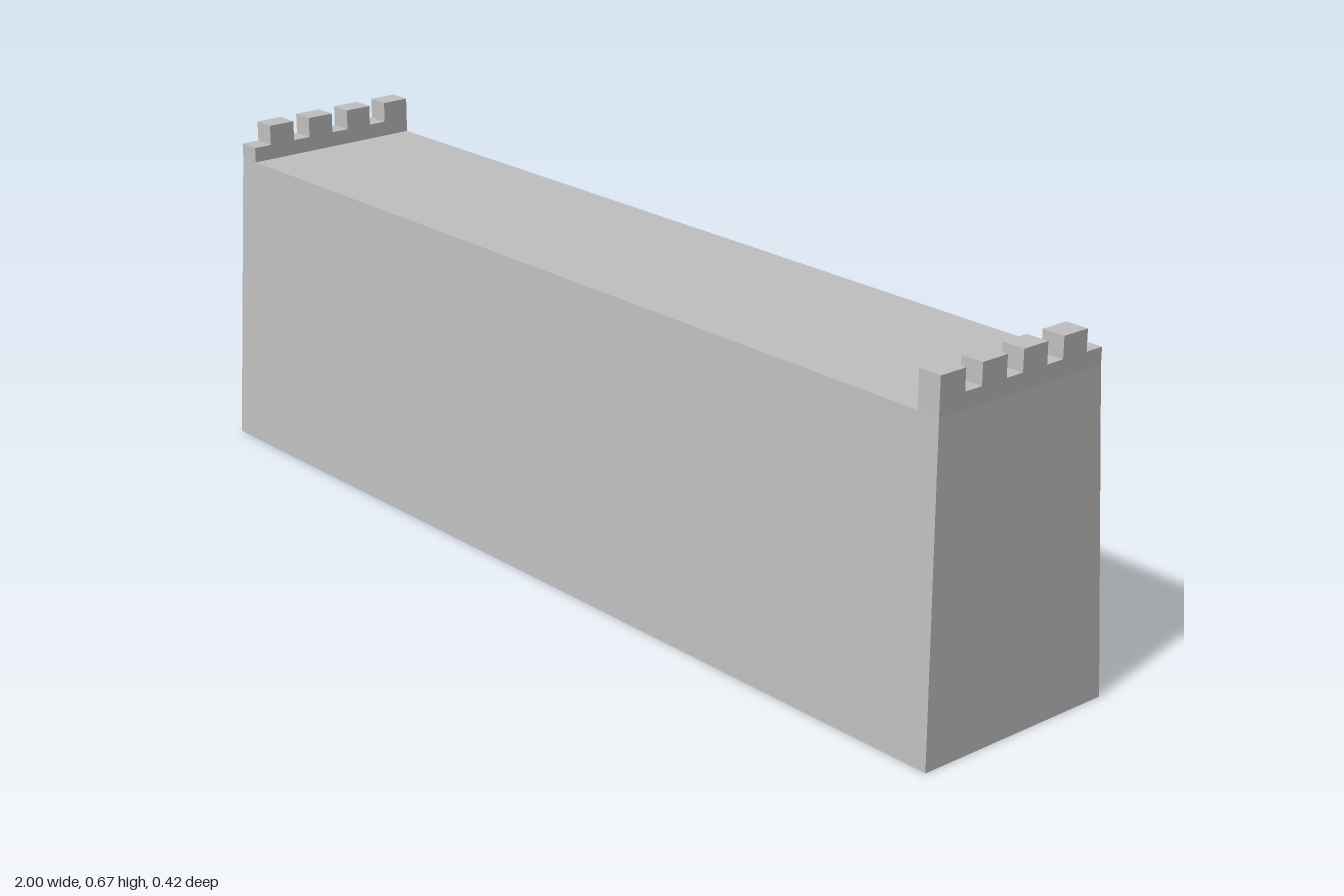
import * as THREE from 'three';

const ROOF_Y = 0.6, NOTCH_Y = 0.63, TOP_Y = 0.67;
const BASE_X = 1, BASE_Z = 0.212;        // half sizes at the ground
const TOP_X = 0.977, TOP_Z = 0.19;       // half sizes at the roof
const PARAPET = 0.046;                   // parapet thickness

// Sloping walls: two rectangular rings joined, open underneath
function wallsGeometry() {
  const corners = [[1, 1], [1, -1], [-1, -1], [-1, 1]];
  const pos = [];
  corners.forEach(([ax, az], i) => {
    const [bx, bz] = corners[(i + 1) % 4];
    const a = [ax * BASE_X, 0, az * BASE_Z], b = [bx * BASE_X, 0, bz * BASE_Z];
    const c = [bx * TOP_X, ROOF_Y, bz * TOP_Z], d = [ax * TOP_X, ROOF_Y, az * TOP_Z];
    pos.push(...a, ...b, ...c, ...a, ...c, ...d);
  });
  const geo = new THREE.BufferGeometry();
  geo.setAttribute('position', new THREE.Float32BufferAttribute(pos, 3));
  geo.computeVertexNormals();
  return geo;
}

// Battlement outline: four merlons, each followed by a notch
function parapetGeometry() {
  const step = (2 * TOP_Z) / 4, merlon = step * 0.6;
  const shape = new THREE.Shape();
  shape.moveTo(TOP_Z, ROOF_Y);
  for (let i = 3; i >= 0; i--) {
    const z = -TOP_Z + i * step;
    shape.lineTo(z + step, NOTCH_Y);
    shape.lineTo(z + merlon, NOTCH_Y);
    shape.lineTo(z + merlon, TOP_Y);
    shape.lineTo(z, TOP_Y);
  }
  shape.lineTo(-TOP_Z, ROOF_Y);
  const geo = new THREE.ExtrudeGeometry(shape, { depth: PARAPET, bevelEnabled: false });
  geo.rotateY(Math.PI / 2);              // merlons start at the +z corner
  geo.translate(TOP_X - PARAPET, 0, 0);
  return geo;
}

export function createModel() {
  const stone = new THREE.MeshStandardMaterial({ color: 0xc0c0c0, side: THREE.DoubleSide });
  stone.name = 'stone grey';
  const model = new THREE.Group();
  model.name = 'castleWall';

  const add = (name, geo) => {
    const mesh = new THREE.Mesh(geo, stone);
    mesh.name = name;
    model.add(mesh);
    return mesh;
  };

  add('walls', wallsGeometry());

  // Walkway between the two parapets
  const walkway = new THREE.PlaneGeometry(2 * (TOP_X - PARAPET), 2 * TOP_Z);
  walkway.rotateX(-Math.PI / 2);
  add('walkway', walkway).position.y = ROOF_Y;

  // The second parapet is the first turned half way round
  const parapet = parapetGeometry();
  add('leftParapet', parapet);
  add('rightParapet', parapet).rotation.y = Math.PI;

  return model;
}
